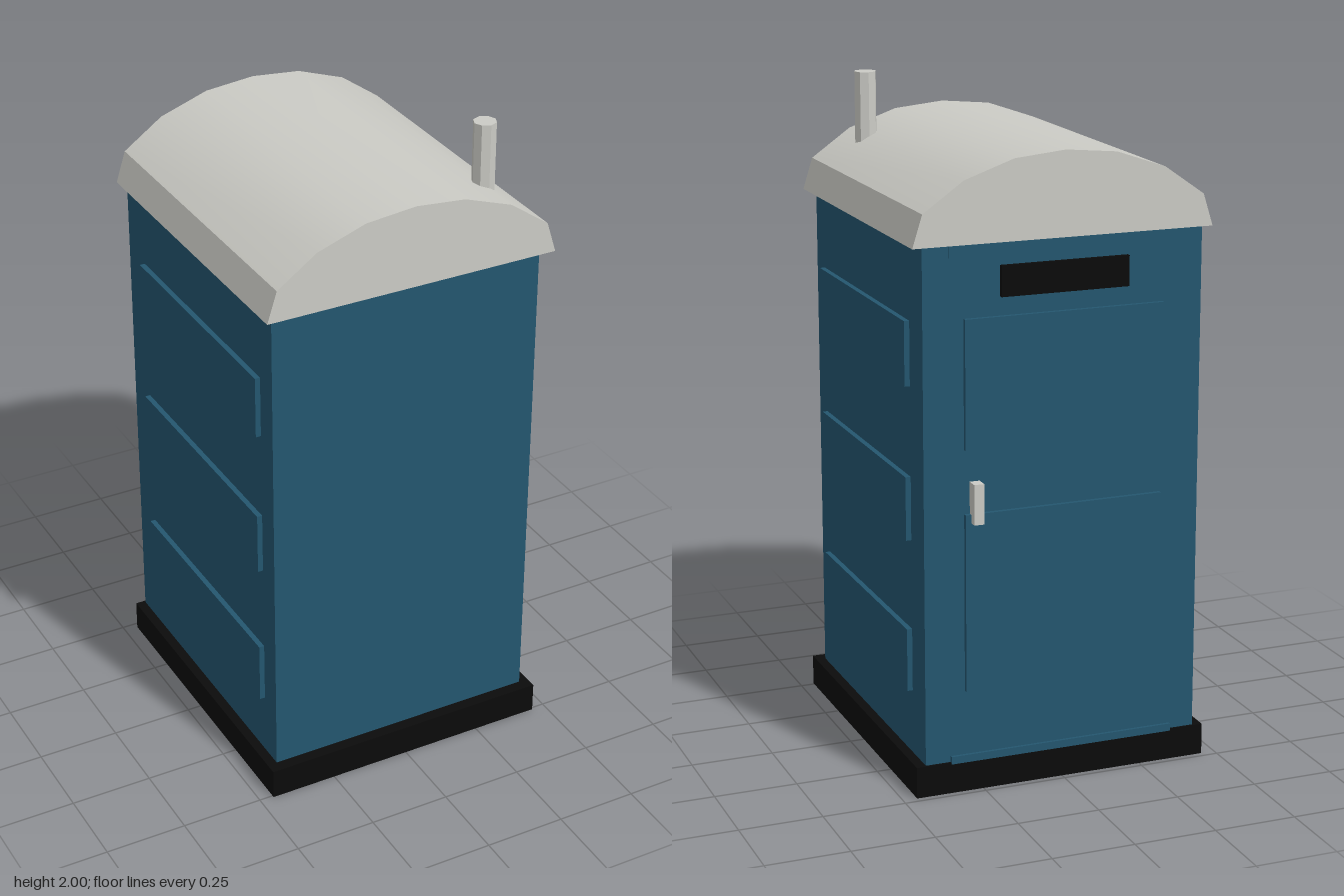
import * as THREE from 'three';
import { toCreasedNormals } from 'three/addons/utils/BufferGeometryUtils.js';

export function createModel() {
  const model = new THREE.Group();
  model.name = 'portableCabin';

  const material = (name, color) => {
    const m = new THREE.MeshStandardMaterial({ color });
    m.name = name;
    return m;
  };
  const blue = material('blue plastic', 0x24566f);
  const grey = material('light grey plastic', 0xcbcbc5);
  const black = material('black plastic', 0x0b0b0b);

  const add = (name, geometry, mat) => {
    const mesh = new THREE.Mesh(geometry, mat);
    mesh.name = name;
    model.add(mesh);
    return mesh;
  };
  // Box given by its minimum and maximum on each axis
  const box = (name, mat, [x0, x1], [y0, y1], [z0, z1]) => {
    const mesh = add(name, new THREE.BoxGeometry(x1 - x0, y1 - y0, z1 - z0), mat);
    mesh.position.set((x0 + x1) / 2, (y0 + y1) / 2, (z0 + z1) / 2);
    return mesh;
  };

  // Base and walls
  box('base', black, [-0.457, 0.457], [0, 0.095], [-0.481, 0.507]);
  box('walls', blue, [-0.427, 0.427], [0.095, 1.63], [-0.474, 0.471]);

  // Raised panels on both side walls
  for (const side of [-1, 1]) {
    for (const y of [0.385, 0.845, 1.302]) {
      const panel = box('sidePanel', blue, [-0.01, 0.01], [y - 0.095, y + 0.095], [-0.367, 0.398]);
      panel.position.x = side * 0.433;
    }
  }

  // Door panels, top and bottom rails, sign and handle
  box('lowerDoorPanel', blue, [-0.305, 0.305], [0.31, 0.845], [-0.487, -0.47]);
  box('upperDoorPanel', blue, [-0.305, 0.305], [1.035, 1.415], [-0.487, -0.47]);
  box('topDoorRail', blue, [-0.35, 0.35], [1.59, 1.63], [-0.48, -0.47]);
  box('bottomDoorRail', blue, [-0.35, 0.35], [0.09, 0.113], [-0.483, -0.47]);
  box('doorSign', black, [-0.195, 0.195], [1.47, 1.56], [-0.487, -0.47]);
  box('doorHandle', grey, [0.258, 0.288], [0.82, 0.94], [-0.511, -0.47]);

  // Arched roof, mirrored from a half profile
  const half = [[0.457, 1.625], [0.427, 1.72], [0.305, 1.806], [0.155, 1.858], [0, 1.873]];
  const mirrored = half.slice(0, -1).reverse().map(([x, y]) => [-x, y]);
  const profile = new THREE.Shape([...half, ...mirrored].map(([x, y]) => new THREE.Vector2(x, y)));
  const roof = new THREE.ExtrudeGeometry(profile, { depth: 0.988, bevelEnabled: false });
  roof.translate(0, 0, -0.481);
  add('roof', toCreasedNormals(roof, Math.PI / 6), grey);

  // Vent pipe
  const pipe = new THREE.CylinderGeometry(0.034, 0.034, 0.22, 8);
  add('ventPipe', toCreasedNormals(pipe, Math.PI / 6), grey).position.set(0.303, 1.89, 0.356);

  return model;
}
